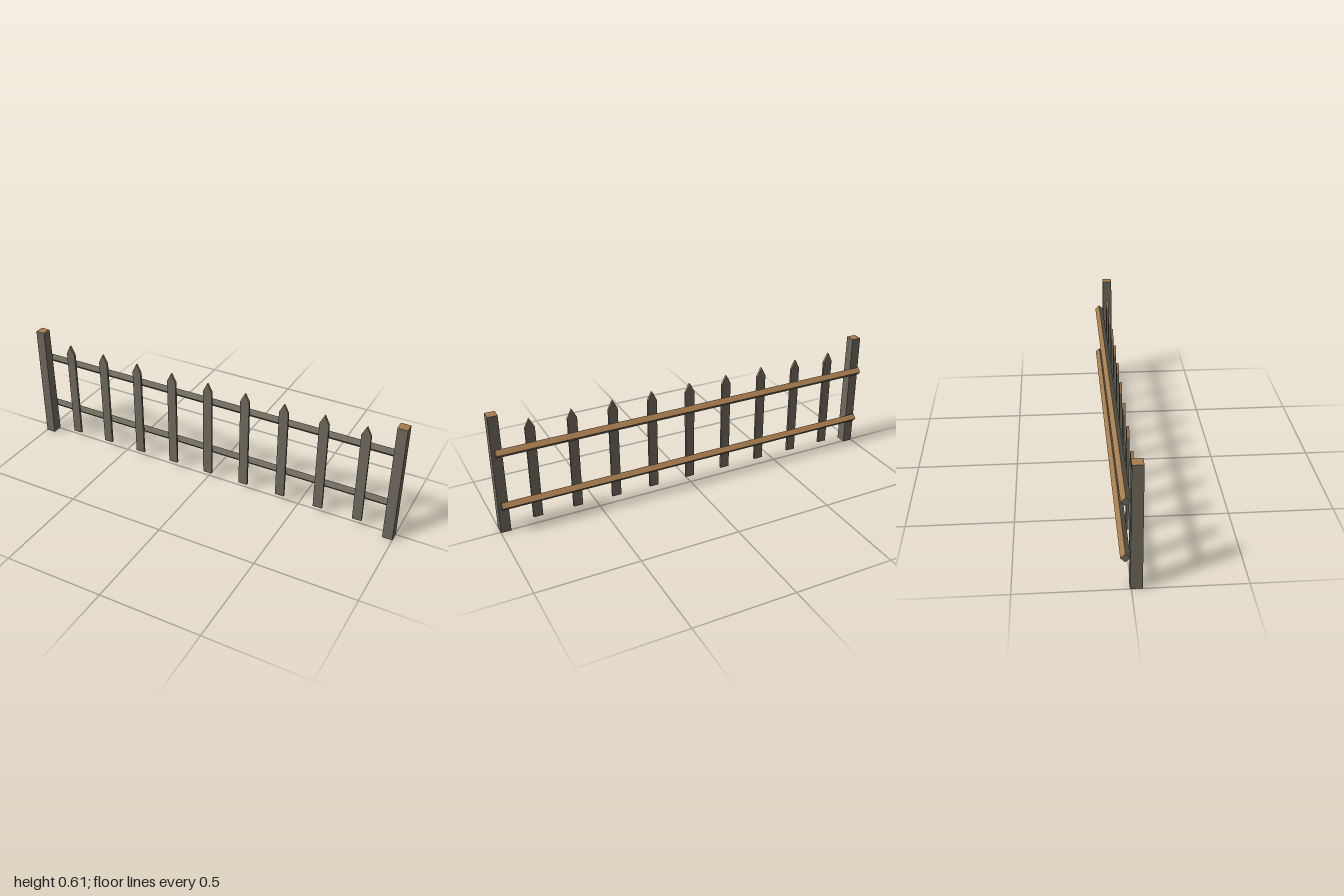
import * as THREE from 'three';

const weathered = new THREE.MeshStandardMaterial({ color: 0x6d695d });
weathered.name = 'weatheredWood';
const fresh = new THREE.MeshStandardMaterial({ color: 0xa67d4e });
fresh.name = 'freshWood';

// One material per box side (+x, -x, +y, -y, +z, -z), with one side in fresh wood
function sides(freshSide) {
  return Array.from({ length: 6 }, (_, i) => (i === freshSide ? fresh : weathered));
}

// Apply a rule to every vertex, then give each face its own flat normal
function reshape(geometry, rule) {
  const g = geometry.toNonIndexed();
  const p = g.attributes.position;
  const v = new THREE.Vector3();
  for (let i = 0; i < p.count; i++) {
    rule(v.fromBufferAttribute(p, i));
    p.setXYZ(i, v.x, v.y, v.z);
  }
  g.computeVertexNormals();
  return g;
}

export function createModel() {
  const fence = new THREE.Group();
  fence.name = 'picketFence';

  const add = (name, geometry, materials, x, y, z) => {
    const mesh = new THREE.Mesh(geometry, materials);
    mesh.name = name;
    mesh.position.set(x, y, z);
    fence.add(mesh);
    return mesh;
  };

  // End posts, narrowing slightly towards the top
  const postHeight = 0.61;
  const post = reshape(new THREE.BoxGeometry(0.05, postHeight, 0.054), (v) => {
    if (v.y > 0) { v.x *= 0.96; v.z *= 0.9; }
  });
  add('rightPost', post, sides(2), -0.975, postHeight / 2, 0.021);
  add('leftPost', post, sides(2), 0.975, postHeight / 2, 0.021);

  // Square rails turned on edge behind the posts
  const rail = new THREE.BoxGeometry(1.974, 0.03, 0.03);
  for (const [name, y] of [['lowerRail', 0.153], ['upperRail', 0.432]]) {
    add(name, rail, sides(5), 0, y, -0.025).rotation.x = Math.PI / 4;
  }

  // Pointed pickets: the middle of the top edge is raised to a tip
  const picket = reshape(new THREE.BoxGeometry(0.047, 0.48, 0.012, 2, 1, 1), (v) => {
    if (v.y > 0 && Math.abs(v.x) < 0.001) v.y += 0.046;
  });
  for (let i = 0; i < 9; i++) {
    add('picket' + (i + 1), picket, sides(2), (i - 4) * 0.2025, 0.27, 0.013);
  }

  return fence;
}
